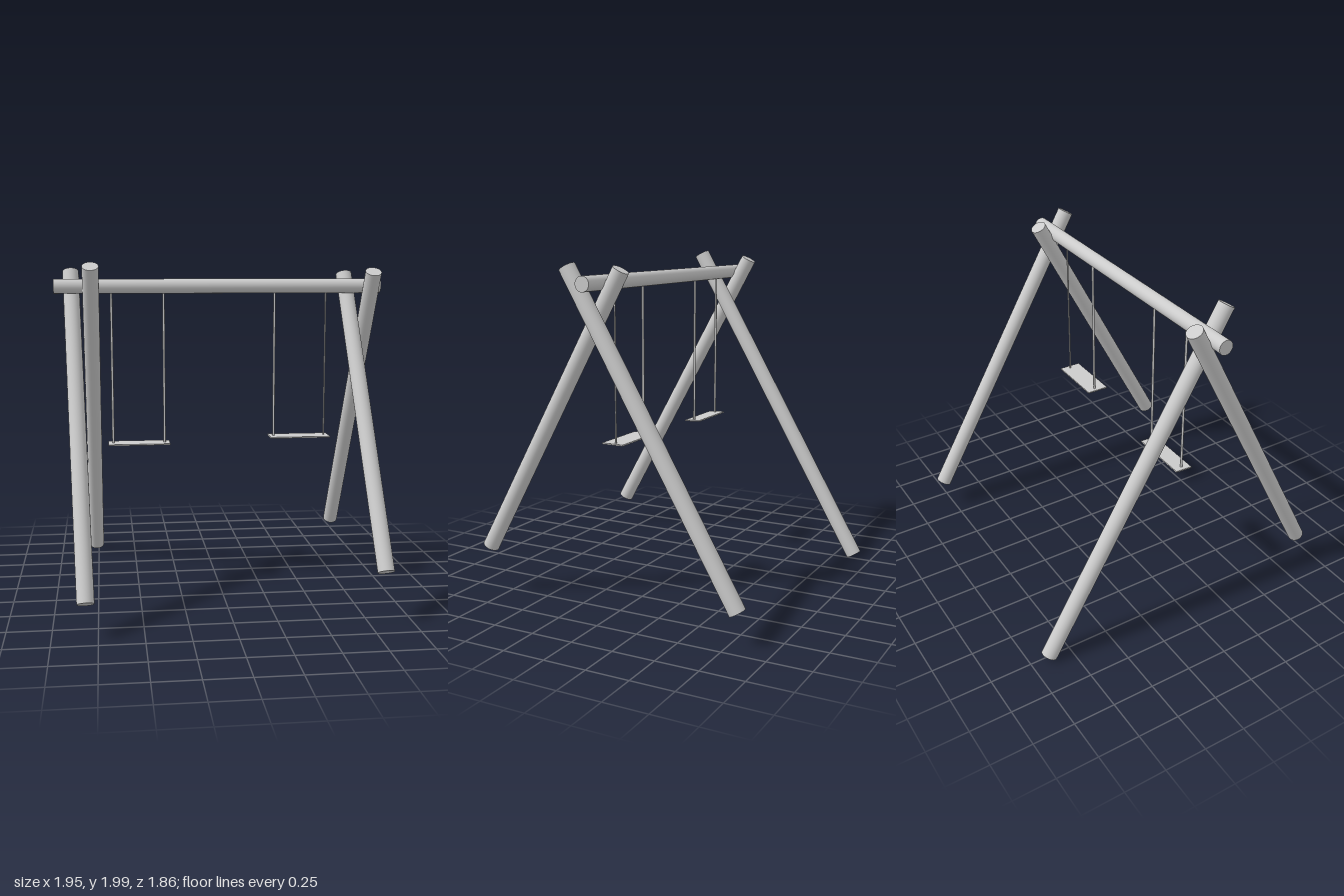
import * as THREE from 'three';

const material = new THREE.MeshStandardMaterial({ color: 0xcccccc });

// Round bar between two points
function bar(name, from, to, radius, sides = 32) {
  const a = new THREE.Vector3(...from);
  const b = new THREE.Vector3(...to);
  const dir = b.clone().sub(a);
  const mesh = new THREE.Mesh(
    new THREE.CylinderGeometry(radius, radius, dir.length(), sides),
    material
  );
  mesh.name = name;
  mesh.position.copy(a).add(b).multiplyScalar(0.5);
  mesh.quaternion.setFromUnitVectors(new THREE.Vector3(0, 1, 0), dir.normalize());
  return mesh;
}

// Flat seat hung from the beam on two ropes
function swing(name, { x, y, z, width, depth, tilt, ropes }) {
  const group = new THREE.Group();
  group.name = name;
  const seat = new THREE.Mesh(new THREE.BoxGeometry(width, 0.008, depth), material);
  seat.name = 'seat';
  seat.position.set(x, y, z);
  seat.rotation.x = tilt;
  group.add(seat);
  for (const [ropeX, radius] of ropes) {
    group.add(bar('rope', [ropeX, y, 0.08], [ropeX, 1.85, 0.077], radius, 12));
  }
  return group;
}

export function createModel() {
  const model = new THREE.Group();
  model.name = 'swingSet';

  // Crossed log legs, standing on uneven ground
  const legRadius = 0.048;
  model.add(
    bar('rightBackLeg', [-0.763, 0.029, -0.886], [-0.763, 1.973, 0.238], legRadius),
    bar('leftBackLeg', [0.9, 0.19, -0.797], [0.9, 1.942, 0.214], legRadius),
    bar('rightFrontLeg', [-0.815, 0.193, 0.886], [-0.882, 1.942, -0.052], legRadius),
    bar('leftFrontLeg', [0.844, 0.294, 0.83], [0.781, 1.927, -0.047], legRadius)
  );

  // Top beam resting in the crossings
  model.add(bar('beam', [-0.979, 1.857, 0.08], [0.974, 1.857, 0.075], 0.043));

  model.add(
    swing('rightSwing', {
      x: -0.49, y: 0.918, z: 0.078, width: 0.37, depth: 0.106, tilt: 0.05,
      ropes: [[-0.645, 0.007], [-0.336, 0.007]],
    }),
    swing('leftSwing', {
      x: 0.486, y: 0.946, z: 0.089, width: 0.366, depth: 0.136, tilt: 0,
      ropes: [[0.331, 0.007], [0.643, 0.005]],
    })
  );
  return model;
}
